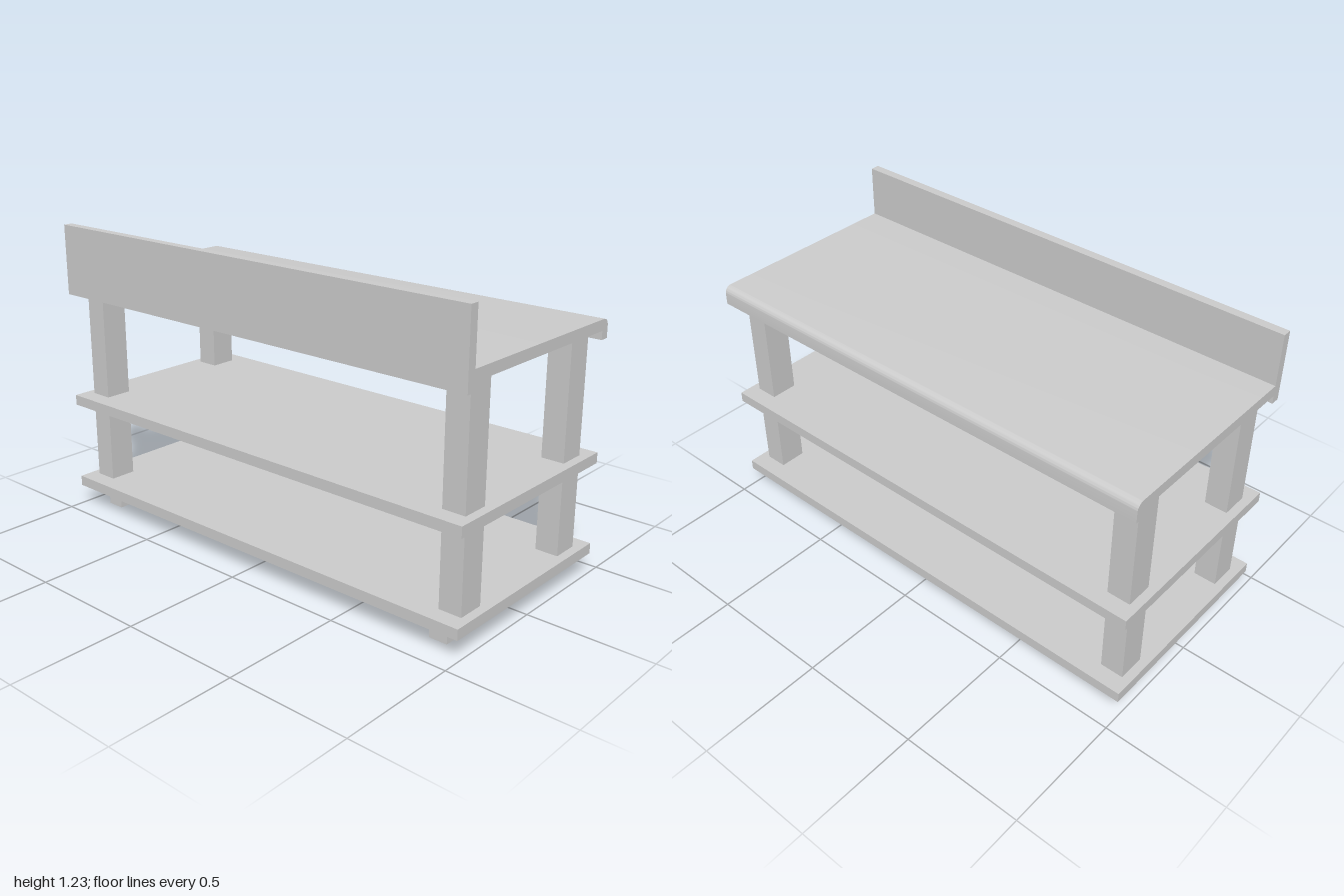
import * as THREE from 'three';
import { toCreasedNormals } from 'three/addons/utils/BufferGeometryUtils.js';

export function createModel() {
  const group = new THREE.Group();
  const material = new THREE.MeshStandardMaterial({ color: 0xcccccc });

  // Box given by its lower and upper corners
  function box(name, [x0, y0, z0], [x1, y1, z1]) {
    const mesh = new THREE.Mesh(new THREE.BoxGeometry(x1 - x0, y1 - y0, z1 - z0), material);
    mesh.position.set((x0 + x1) / 2, (y0 + y1) / 2, (z0 + z1) / 2);
    mesh.name = name;
    group.add(mesh);
  }

  // Counter top: side profile (z, y) with front upstand, rounded back nose and drip lip
  const profile = new THREE.Shape();
  profile.moveTo(0.437, 0.94);
  profile.lineTo(0.437, 1.23);
  profile.lineTo(0.4, 1.23);
  profile.lineTo(0.4, 1.017);
  profile.lineTo(-0.407, 1.017);
  profile.absarc(-0.407, 0.987, 0.03, Math.PI / 2, Math.PI, false);
  profile.lineTo(-0.437, 0.94);
  profile.lineTo(-0.4, 0.94);
  profile.lineTo(-0.4, 0.974);
  profile.lineTo(0.4, 0.974);
  profile.lineTo(0.4, 0.94);
  profile.closePath();
  const topGeometry = new THREE.ExtrudeGeometry(profile, { depth: 2, bevelEnabled: false, curveSegments: 8 });
  topGeometry.translate(0, 0, -1).rotateY(-Math.PI / 2);
  const top = new THREE.Mesh(toCreasedNormals(topGeometry, 0.6), material);
  top.name = 'counterTop';
  group.add(top);

  // Shelves
  box('middleShelf', [-1, 0.455, -0.437], [1, 0.498, 0.437]);
  box('bottomShelf', [-1, 0.083, -0.437], [1, 0.126, 0.437]);

  // Posts between the boards, and feet below
  for (const [sx, side] of [[1, 'Left'], [-1, 'Right']]) {
    for (const [sz, end] of [[1, 'front'], [-1, 'back']]) {
      const x = sx * 0.917, z = sz * 0.31, fx = sx * 0.868, fz = sz * 0.306;
      box(`${end}${side}UpperPost`, [x - 0.047, 0.498, z - 0.056], [x + 0.047, 0.974, z + 0.056]);
      box(`${end}${side}LowerPost`, [x - 0.047, 0.126, z - 0.056], [x + 0.047, 0.455, z + 0.056]);
      box(`${end}${side}Foot`, [fx - 0.038, 0, fz - 0.055], [fx + 0.038, 0.083, fz + 0.055]);
    }
  }
  return group;
}
